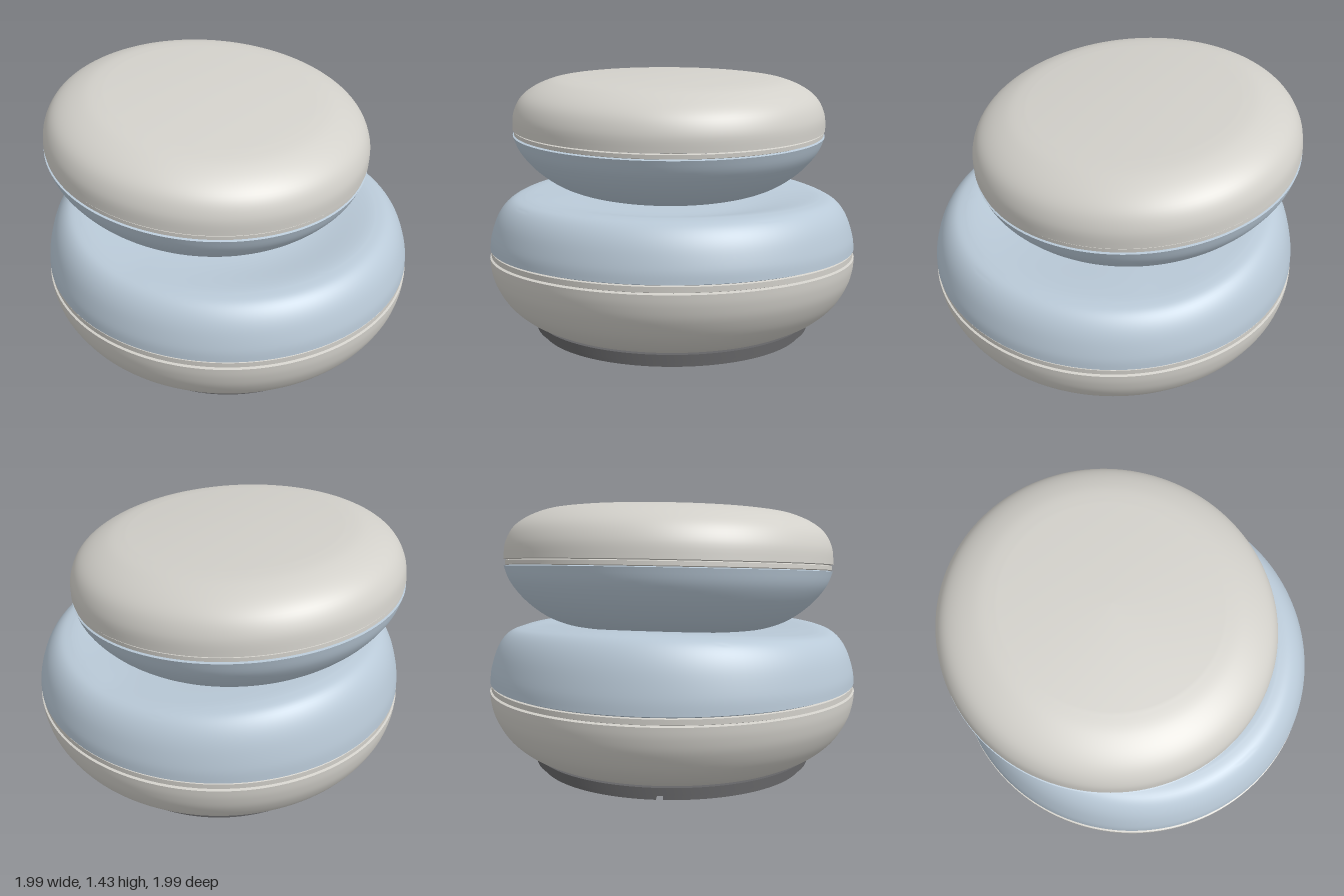
import * as THREE from 'three';
import { toCreasedNormals } from 'three/addons/utils/BufferGeometryUtils.js';

const SEGMENTS = 128;

function material(name, color) {
  const m = new THREE.MeshStandardMaterial({ color });
  m.name = name;
  return m;
}

function part(name, geometry, mat, crease = 0.5) {
  const mesh = new THREE.Mesh(toCreasedNormals(geometry, crease), mat);
  mesh.name = name;
  return mesh;
}

const points = (list) => list.map(([r, y]) => new THREE.Vector2(r, y));
const smooth = (list, n = 24) => new THREE.SplineCurve(points(list)).getPoints(n);
const lathe = (profile) => new THREE.LatheGeometry(profile, SEGMENTS);

// Recessed band between two shell halves
const seamBand = (r, y0, y1) => lathe(points([
  [r - 0.02, y0], [r - 0.008, y0 + 0.004], [r - 0.008, y1 - 0.004], [r - 0.02, y1],
]));

// Flat ring cut by a straight radial cable slot
const SLOT_ANGLE = THREE.MathUtils.degToRad(115);
const SLOT_WIDTH = 0.035;
function slottedRing(inner, outer, height) {
  const a = Math.asin(SLOT_WIDTH / 2 / outer);
  const b = Math.asin(SLOT_WIDTH / 2 / inner);
  const turn = SLOT_ANGLE + Math.PI * 2;
  const shape = new THREE.Shape();
  shape.absarc(0, 0, outer, SLOT_ANGLE + a, turn - a, false);
  shape.absarc(0, 0, inner, turn - b, SLOT_ANGLE + b, true);
  shape.closePath();
  const geo = new THREE.ExtrudeGeometry(shape, { depth: height, bevelEnabled: false, curveSegments: 96 });
  return geo.rotateX(-Math.PI / 2);
}

// Cushion top: a rim raised toward the back around a tilted shallow dish
function cushionTop() {
  const side = smooth([[0.992, 0.476], [0.985, 0.54], [0.955, 0.635], [0.915, 0.7], [0.865, 0.738], [0.8, 0.75]]);
  const dish = [];
  for (let i = 1; i <= 20; i++) dish.push(new THREE.Vector2(0.8 * (1 - i / 20), 0.75));
  const geo = lathe([new THREE.Vector2(0.975, 0.47), ...side, ...dish]);
  const pos = geo.attributes.position;
  for (let i = 0; i < pos.count; i++) {
    const x = pos.getX(i), y = pos.getY(i), z = pos.getZ(i);
    const r = Math.hypot(x, z);
    const toBack = r > 1e-4 ? Math.max(0, (-0.3 * x - 0.954 * z) / r) : 0;
    const rim = 0.748 + 0.078 * Math.pow(toBack, 1.5);
    if (r > 0.801) {
      pos.setY(i, 0.47 + (y - 0.47) * (rim - 0.47) / 0.28);
    } else {
      const plane = 0.76 - 0.025 * (x + 0.05) - 0.081 * (z + 0.12);
      pos.setY(i, THREE.MathUtils.lerp(plane, rim, THREE.MathUtils.smoothstep(r, 0.45, 0.8)));
    }
  }
  return geo;
}

export function createModel() {
  const beige = material('warm grey shell', 0xd2d0ca);
  const blue = material('pale blue shell', 0xb9c9d7);
  const dark = material('dark grey base', 0x646466);

  const model = new THREE.Group();
  model.name = 'stackedCushions';

  // Foot: plate with short neck, slotted pad and outer lip
  const base = new THREE.Group();
  base.name = 'base';
  base.add(part('basePlate', lathe(points([
    [0.18, 0.08], [0.216, 0.03], [0.75, 0.03], [0.75, 0.07], [0.25, 0.07], [0.25, 0.08], [0.18, 0.08],
  ])), dark));
  const pad = slottedRing(0.24, 0.645, 0.03);
  const pos = pad.attributes.position;
  for (let i = 0; i < pos.count; i++) {
    // taper the centre hole
    if (Math.hypot(pos.getX(i), pos.getZ(i)) < 0.3 && pos.getY(i) > 0.015) {
      pos.setX(i, pos.getX(i) * 0.9);
      pos.setZ(i, pos.getZ(i) * 0.9);
    }
  }
  base.add(part('basePad', pad, dark));
  base.add(part('baseLip', slottedRing(0.658, 0.72, 0.03), dark));
  model.add(base);

  // Lower cushion
  const lower = new THREE.Group();
  lower.name = 'lowerCushion';
  lower.add(part('lowerShell', lathe([
    new THREE.Vector2(0, 0.08),
    ...smooth([[0.75, 0.08], [0.83, 0.123], [0.91, 0.195], [0.967, 0.29], [0.99, 0.37], [0.995, 0.43]]),
    new THREE.Vector2(0.975, 0.435),
  ]), beige));
  lower.add(part('lowerSeam', seamBand(0.995, 0.435, 0.47), beige));
  lower.add(part('lowerTop', cushionTop(), blue));
  model.add(lower);

  // Upper cushion, tilted and set back
  const upper = new THREE.Group();
  upper.name = 'upperCushion';
  upper.add(part('upperUnderside', lathe([
    new THREE.Vector2(0, -0.335),
    ...smooth([[0.4, -0.335], [0.52, -0.32], [0.64, -0.275], [0.75, -0.195], [0.83, -0.1], [0.864, -0.018]]),
    new THREE.Vector2(0.845, -0.014),
  ]), blue));
  upper.add(part('upperSeam', seamBand(0.866, -0.014, 0.014), beige));
  upper.add(part('upperTop', lathe([
    new THREE.Vector2(0.845, 0.014),
    ...smooth([[0.865, 0.018], [0.858, 0.1], [0.82, 0.178], [0.75, 0.234], [0.65, 0.275], [0.55, 0.291]]),
    new THREE.Vector2(0, 0.293),
  ]), beige));
  upper.position.set(-0.047, 1.097, -0.12);
  upper.quaternion.setFromUnitVectors(
    new THREE.Vector3(0, 1, 0), new THREE.Vector3(0.025, 1, 0.081).normalize());
  model.add(upper);

  return model;
}
